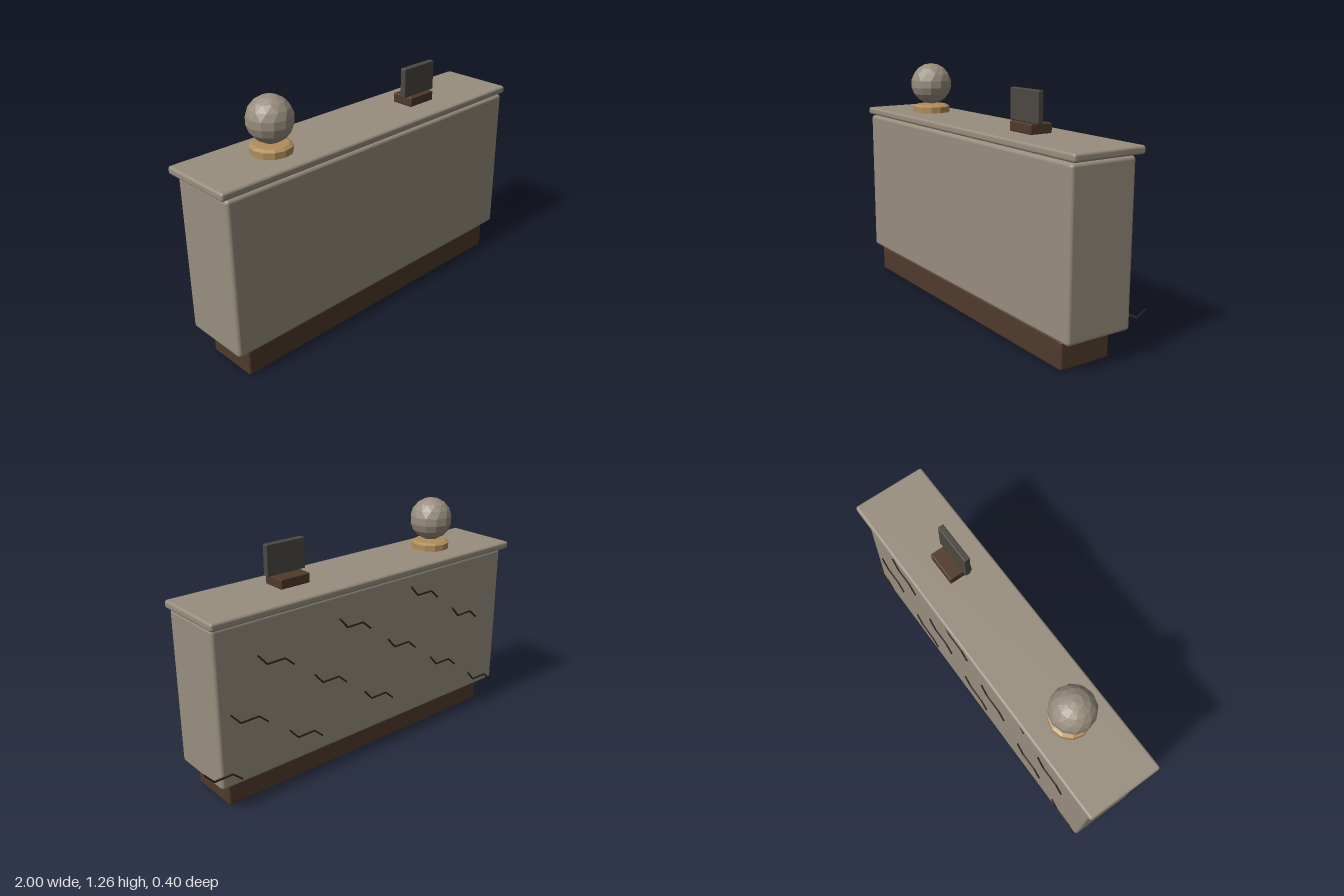
import * as THREE from 'three';
import { RoundedBoxGeometry } from 'three/addons/geometries/RoundedBoxGeometry.js';

const paint = (name, color) => {
  const m = new THREE.MeshStandardMaterial({ color });
  m.name = name;
  return m;
};

// Split all faces apart so that each one is shaded flat
function faceted(geometry) {
  const g = geometry.toNonIndexed();
  g.computeVertexNormals();
  return g;
}

export function createModel() {
  const group = new THREE.Group();
  const stone = paint('stone', 0x988e7e);
  const darkWood = paint('dark wood', 0x4f3a2b);
  const brass = paint('brass', 0xb08d5a);
  const slate = paint('slate', 0x4c4842);
  const crackDark = paint('crack dark', 0x2a241c);

  const add = (name, geometry, material, parent = group) => {
    const mesh = new THREE.Mesh(geometry, material);
    mesh.name = name;
    parent.add(mesh);
    return mesh;
  };

  // Softened box given by its limits on each axis
  const box = (name, material, [x0, x1], [y0, y1], [z0, z1], radius) => {
    const g = new RoundedBoxGeometry(x1 - x0, y1 - y0, z1 - z0, 2, radius);
    g.translate((x0 + x1) / 2, (y0 + y1) / 2, (z0 + z1) / 2);
    return add(name, g, material);
  };

  // Counter
  box('plinth', darkWood, [-0.91, 0.84], [0, 0.14], [-0.105, 0.175], 0.012);
  box('counterBody', stone, [-0.975, 0.91], [0.143, 0.945], [-0.165, 0.195], 0.018);
  box('counterTop', stone, [-1, 0.93], [0.95, 0.99], [-0.2, 0.2], 0.013);

  // Small sign on its block
  box('signBase', darkWood, [0.29, 0.46], [0.995, 1.045], [-0.053, 0.072], 0.006);
  box('signPanel', slate, [0.263, 0.485], [1.045, 1.2], [0.018, 0.05], 0.005);

  // Round foot with a bevelled rim
  const footProfile = [[0, 0.994], [0.102, 0.994], [0.102, 1.026], [0.085, 1.036], [0, 1.038]]
    .map(([r, y]) => new THREE.Vector2(r, y));
  const foot = add('orbFoot', faceted(new THREE.LatheGeometry(footProfile, 12)), brass);
  foot.position.set(-0.58, 0, 0.004);

  // Faceted orb: the rings of the upper half are twisted into slanted folds
  const orb = new THREE.SphereGeometry(0.113, 12, 9);
  const p = orb.attributes.position;
  const v = new THREE.Vector3();
  const up = new THREE.Vector3(0, 1, 0);
  for (let i = 0; i < p.count; i++) {
    v.fromBufferAttribute(p, i);
    if (v.y > 0.03) v.applyAxisAngle(up, (v.y - 0.03) * 9);
    p.setXYZ(i, v.x, v.y, v.z);
  }
  add('orb', faceted(orb), stone).position.set(-0.58, 1.152, 0.004);

  // One crack: a thin zigzag of three strokes
  const path = [[0, 0], [-0.05, -0.057], [-0.15, -0.057], [-0.2, -0.102]];
  const w = 0.0035;
  const outline = new THREE.Shape([
    ...path.map(([x, y]) => new THREE.Vector2(x - w * 0.5, y + w)),
    ...path.slice().reverse().map(([x, y]) => new THREE.Vector2(x + w * 0.5, y - w)),
  ]);
  const crackGeometry = new THREE.ExtrudeGeometry(outline, { depth: 0.008, bevelEnabled: false });

  // Cracks repeat over the back on a slanted lattice: [first, last] column per row
  const cracks = new THREE.Group();
  cracks.name = 'backCracks';
  group.add(cracks);
  [[0, 2], [0, 3], [0, 3], [4, 4]].forEach(([first, last], row) => {
    for (let i = first; i <= last; i++) {
      const crack = add('crack', crackGeometry, crackDark, cracks);
      crack.position.set(0.683 - 0.479 * i + 0.158 * row, 0.768 + 0.054 * i - 0.248 * row, -0.172);
    }
  });

  return group;
}
